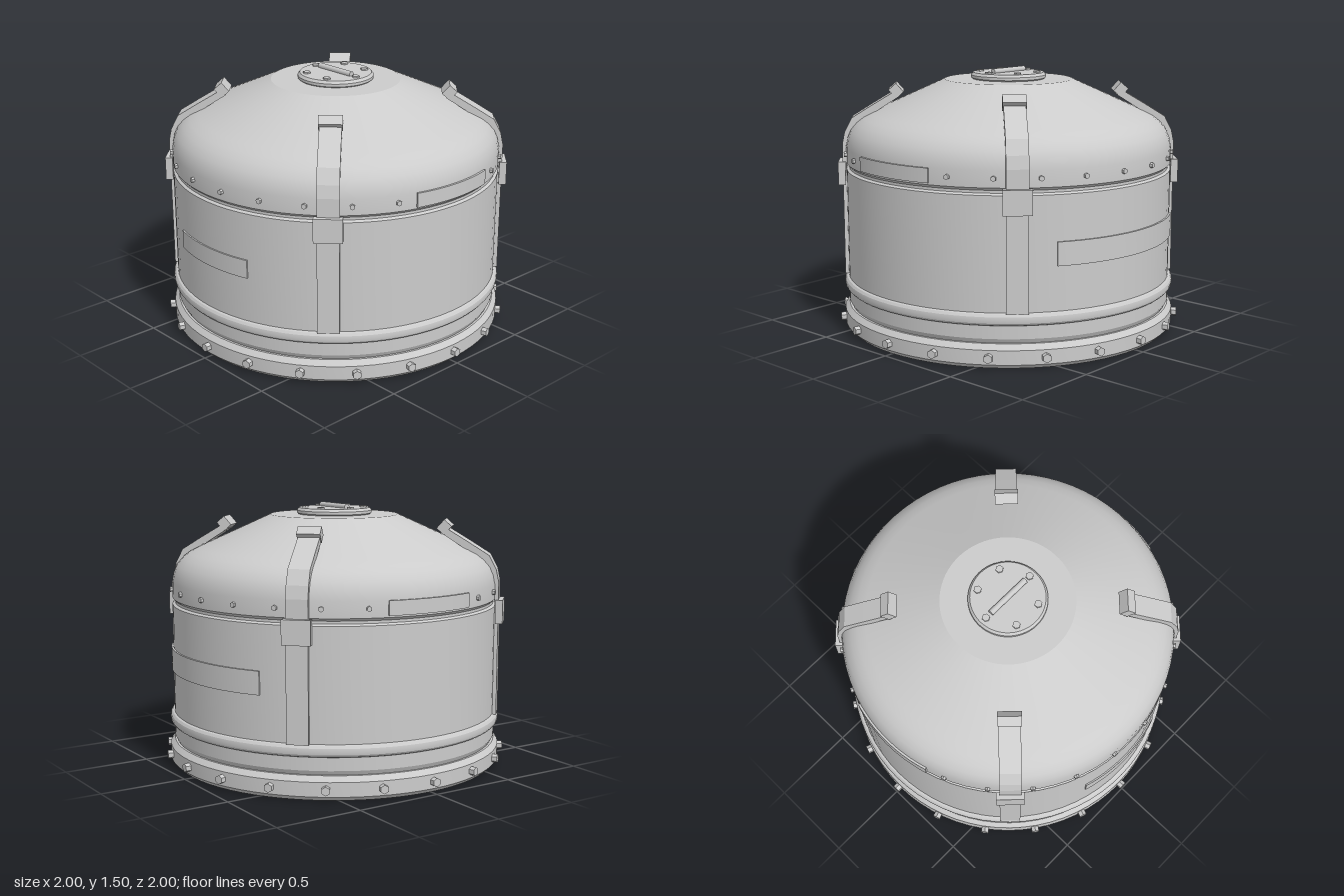
import * as THREE from 'three';
import { toCreasedNormals } from 'three/addons/utils/BufferGeometryUtils.js';

const grey = new THREE.MeshStandardMaterial({ color: 0xcccccc });
const greyDouble = new THREE.MeshStandardMaterial({ color: 0xcccccc, side: THREE.DoubleSide });

function add(parent, name, geometry, material = grey) {
  const mesh = new THREE.Mesh(geometry, material);
  mesh.name = name;
  parent.add(mesh);
  return mesh;
}

// Turned shell from [radius, height] points
function turned(parent, name, points) {
  const profile = points.map(([r, y]) => new THREE.Vector2(r, y));
  return add(parent, name, toCreasedNormals(new THREE.LatheGeometry(profile, 72), 0.4), greyDouble);
}

// Ring of hexagonal bolts pointing outwards
function boltRing(parent, name, count, offset, radius, y, size, length, skip = () => false) {
  const geometry = toCreasedNormals(new THREE.CylinderGeometry(size, size, length, 6), 0.4);
  geometry.rotateX(Math.PI / 2);
  for (let i = 0; i < count; i++) {
    const a = (i + offset) / count * Math.PI * 2;
    if (skip(a)) continue;
    const bolt = add(parent, name, geometry);
    bolt.position.set(Math.sin(a) * radius, y, Math.cos(a) * radius);
    bolt.rotation.y = a;
  }
}

// Thin curved plate wrapped on the wall, centred on an angle from the front
function plate(parent, name, angle, half, y0, y1, radius) {
  const from = angle - half - Math.PI / 2;
  const to = angle + half - Math.PI / 2;
  const shape = new THREE.Shape();
  shape.absarc(0, 0, radius, from, to, false);
  shape.absarc(0, 0, 0.9445, to, from, true);
  const geometry = new THREE.ExtrudeGeometry(shape, { depth: y1 - y0, bevelEnabled: false, curveSegments: 20 });
  geometry.rotateX(-Math.PI / 2);
  add(parent, name, toCreasedNormals(geometry, 0.4)).position.y = y0;
}

// Strap that runs up the wall and over the dome, with its clamp and end block
function strap(angle) {
  const group = new THREE.Group();
  group.name = 'strap';
  const outer = [[0.965, 0.3], [0.965, 1.07], [0.95, 1.14], [0.909, 1.22], [0.8, 1.288], [0.65, 1.378]];
  const inner = [[0.63, 1.345], [0.775, 1.252], [0.88, 1.19], [0.92, 1.12], [0.9435, 1.06], [0.9435, 0.3]];
  const shape = new THREE.Shape([...outer, ...inner].map(([r, y]) => new THREE.Vector2(r, y)));
  const band = new THREE.ExtrudeGeometry(shape, { depth: 0.12, bevelEnabled: false });
  band.translate(0, 0, -0.06);
  add(group, 'strapBand', band);
  add(group, 'strapClamp', new THREE.BoxGeometry(0.042, 0.135, 0.156)).position.set(0.97, 0.9, 0);
  const block = add(group, 'strapEndBlock', new THREE.BoxGeometry(0.058, 0.066, 0.13));
  block.position.set(0.65, 1.376, 0);
  block.rotation.z = -0.72;
  group.rotation.y = angle;
  return group;
}

export function createModel() {
  const model = new THREE.Group();
  model.name = 'capsule';

  // Base flange, open in the middle
  turned(model, 'baseFlange', [
    [0.53, 0], [0.945, 0], [0.97, 0.025], [0.97, 0.105], [0.945, 0.135], [0.9, 0.135],
  ]);
  boltRing(model, 'flangeBolt', 20, 0, 0.975, 0.065, 0.025, 0.05);

  // Hollow body with a floor ring, and a raised rounded lip
  turned(model, 'body', [
    [0.53, 0.13], [0.93, 0.13], [0.945, 0.16], [0.945, 0.93], [0.93, 0.94], [0.93, 0.96],
  ]);
  turned(model, 'bodyLip', [
    [0.945, 0.233], [0.957, 0.238], [0.966, 0.25], [0.969, 0.268], [0.966, 0.285], [0.957, 0.298], [0.945, 0.303],
  ]);

  // Domed top with a flat crown
  turned(model, 'dome', [
    [0.93, 0.955], [0.945, 0.97], [0.945, 1.06], [0.935, 1.11], [0.915, 1.155],
    [0.88, 1.195], [0.84, 1.225], [0.79, 1.25], [0.37, 1.44], [0, 1.44],
  ]);
  const underSidePlate = (a) => Math.abs(Math.cos(a)) < 0.2;
  boltRing(model, 'domeRivet', 24, 0.5, 0.945, 1.02, 0.015, 0.03, underSidePlate);

  // Thin plates: front, back and both sides
  plate(model, 'frontPlate', 0, 0.305, 0.56, 0.665, 0.953);
  plate(model, 'backPlate', Math.PI, 0.56, 0.55, 0.68, 0.955);
  for (const side of [-1, 1]) plate(model, 'sidePlate', side * Math.PI / 2, 0.281, 0.98, 1.06, 0.957);

  // Four straps on the diagonals
  for (let i = 0; i < 4; i++) model.add(strap(Math.PI / 4 + i * Math.PI / 2));

  // Top hatch with its bolts and handle
  const hatch = new THREE.Group();
  hatch.name = 'hatch';
  model.add(hatch);
  turned(hatch, 'hatchCover', [
    [0.205, 1.438], [0.217, 1.447], [0.217, 1.463], [0.205, 1.478], [0, 1.478],
  ]);
  const hatchBolt = toCreasedNormals(new THREE.CylinderGeometry(0.022, 0.022, 0.02, 6), 0.4);
  for (let i = 0; i < 6; i++) {
    const a = i * Math.PI / 3;
    add(hatch, 'hatchBolt', hatchBolt).position.set(Math.cos(a) * 0.168, 1.477, Math.sin(a) * 0.168);
  }
  const handle = add(hatch, 'hatchHandle', new THREE.CylinderGeometry(0.017, 0.017, 0.265, 12));
  handle.rotation.z = Math.PI / 2;
  handle.position.y = 1.486;

  return model;
}
